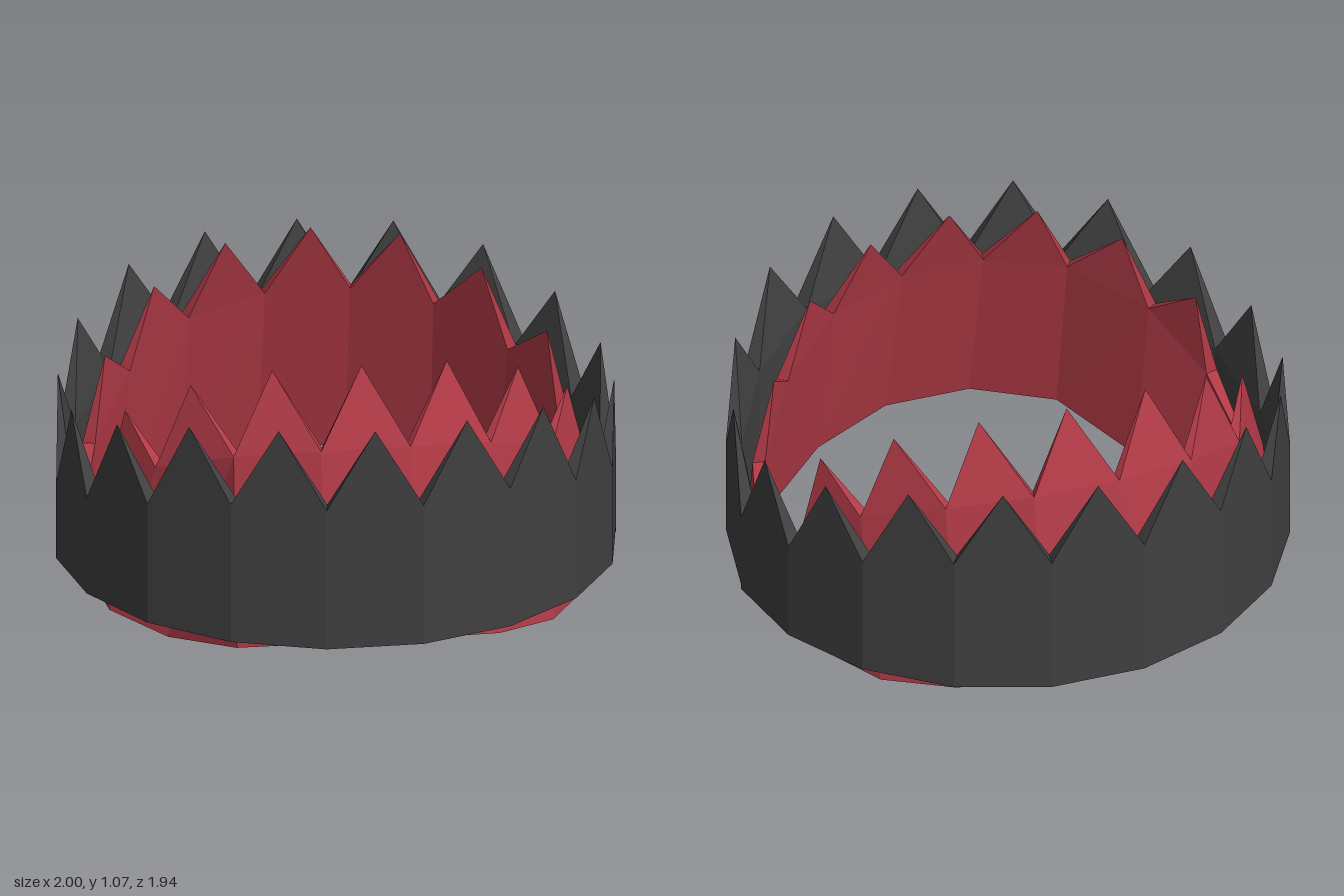
import * as THREE from 'three';

const COUNT = 10; // columns per half ring, one every 20 degrees
const mirrored = (i) => Math.min(i, COUNT - 1 - i); // 0 at the ends, 4 beside the centre
const side = (i) => (i < COUNT / 2 ? -1 : 1);

// A toothed half ring: columns are { bo, bi, to, ti } (bottom/top, outer/inner), tips[i] stands between i and i + 1
function toothedStrip(columns, tips) {
  const pos = [];
  const tri = (...pts) => pts.forEach((p) => pos.push(...p));
  const quad = (a, b, c, d) => { tri(a, b, c); tri(a, c, d); };
  for (let i = 0; i < columns.length - 1; i++) {
    const p = columns[i], q = columns[i + 1], tip = tips[i];
    quad(p.bo, q.bo, q.to, p.to); // outer wall
    quad(q.bi, p.bi, p.ti, q.ti); // inner wall
    quad(p.bi, q.bi, q.bo, p.bo); // underside
    if (tip) { // pointed tooth
      tri(p.to, q.to, tip);
      tri(q.ti, p.ti, tip);
      tri(p.ti, p.to, tip);
      tri(q.to, q.ti, tip);
    } else {
      quad(p.to, q.to, q.ti, p.ti);
    }
  }
  const s = columns[0], e = columns[columns.length - 1];
  quad(s.bi, s.bo, s.to, s.ti);
  quad(e.bo, e.bi, e.ti, e.to);
  const geo = new THREE.BufferGeometry();
  geo.setAttribute('position', new THREE.Float32BufferAttribute(pos, 3));
  geo.computeVertexNormals();
  return geo;
}

const inward = ([x, y, z], k) => [x * k, y, z * k];

// Dark outer band: vertical wall, teeth shrinking towards the hinges
function bandGeometry(endBottom) {
  const valley = [0.41, 0.49, 0.58, 0.655, 0.66];
  const peak = [0.76, 0.83, 0.915, 0.952, 0.955];
  const columns = [], tips = [];
  for (let i = 0; i < COUNT; i++) {
    const a = THREE.MathUtils.degToRad(-90 + i * 20);
    const x = Math.sin(a), z = 0.985 * Math.cos(a);
    const hinge = i < COUNT / 2 ? endBottom[0] : endBottom[1];
    const bo = [x, THREE.MathUtils.lerp(hinge, 0.128, z), z];
    const to = [x, valley[mirrored(i)], z];
    columns.push({ bo, to, bi: inward(bo, 0.943), ti: inward(to, 0.943) });
  }
  for (let i = 0; i < COUNT - 1; i++) {
    const p = columns[i].to, q = columns[i + 1].to;
    tips.push([(p[0] + q[0]) / 2, peak[Math.min(i, 8 - i)], (p[2] + q[2]) / 2]);
  }
  return toothedStrip(columns, tips);
}

// Red inner jaw: leans inwards, sags below the band and runs out to a point at each hinge
function jawGeometry(bent) {
  const bottom = [[0.93, 0.14, 0.01], [0.86, 0.06, 0.35], [0.69, 0.04, 0.61], [0.47, 0.08, 0.8], [0.165, 0.125, 0.91]];
  const top = [[0.93, 0.18, 0.01], [0.87, 0.45, 0.25], [0.71, 0.64, 0.45], [0.46, 0.75, 0.65], [0.16, 0.79, 0.74]];
  const peaks = [null, [0.79, 0.78, 0.25], [0.585, 0.95, 0.45], [0.312, 1.045, 0.58], [0, 1.065, 0.63]];
  const flip = (p, s) => [p[0] * s, p[1], p[2]];
  const columns = [], tips = [];
  for (let i = 0; i < COUNT; i++) {
    const m = mirrored(i), k = m === 0 ? 0.99 : 0.95;
    // one corner is knocked inwards and down
    const bo = bent && i === 2 ? [-0.67, 0, 0.48] : flip(bottom[m], side(i));
    const to = flip(top[m], side(i));
    columns.push({ bo, to, bi: inward(bo, k), ti: inward(to, k) });
  }
  for (let i = 0; i < COUNT - 1; i++) {
    const p = peaks[Math.min(i, 8 - i)];
    tips.push(p && flip(p, i < 4 ? -1 : 1));
  }
  return toothedStrip(columns, tips);
}

export function createModel() {
  const model = new THREE.Group();
  model.name = 'spikedRing';
  const dark = new THREE.MeshStandardMaterial({ color: 0x404040, flatShading: true });
  const red = new THREE.MeshStandardMaterial({ color: 0xb03a46, flatShading: true });

  const add = (name, geo, mat, turn) => {
    const mesh = new THREE.Mesh(geo, mat);
    mesh.name = name;
    mesh.rotation.y = turn;
    model.add(mesh);
  };
  add('frontBand', bandGeometry([0.12, 0.12]), dark, 0);
  add('backBand', bandGeometry([0.1, 0.12]), dark, Math.PI);
  add('frontJaw', jawGeometry(true), red, 0);
  add('backJaw', jawGeometry(false), red, Math.PI);
  return model;
}
